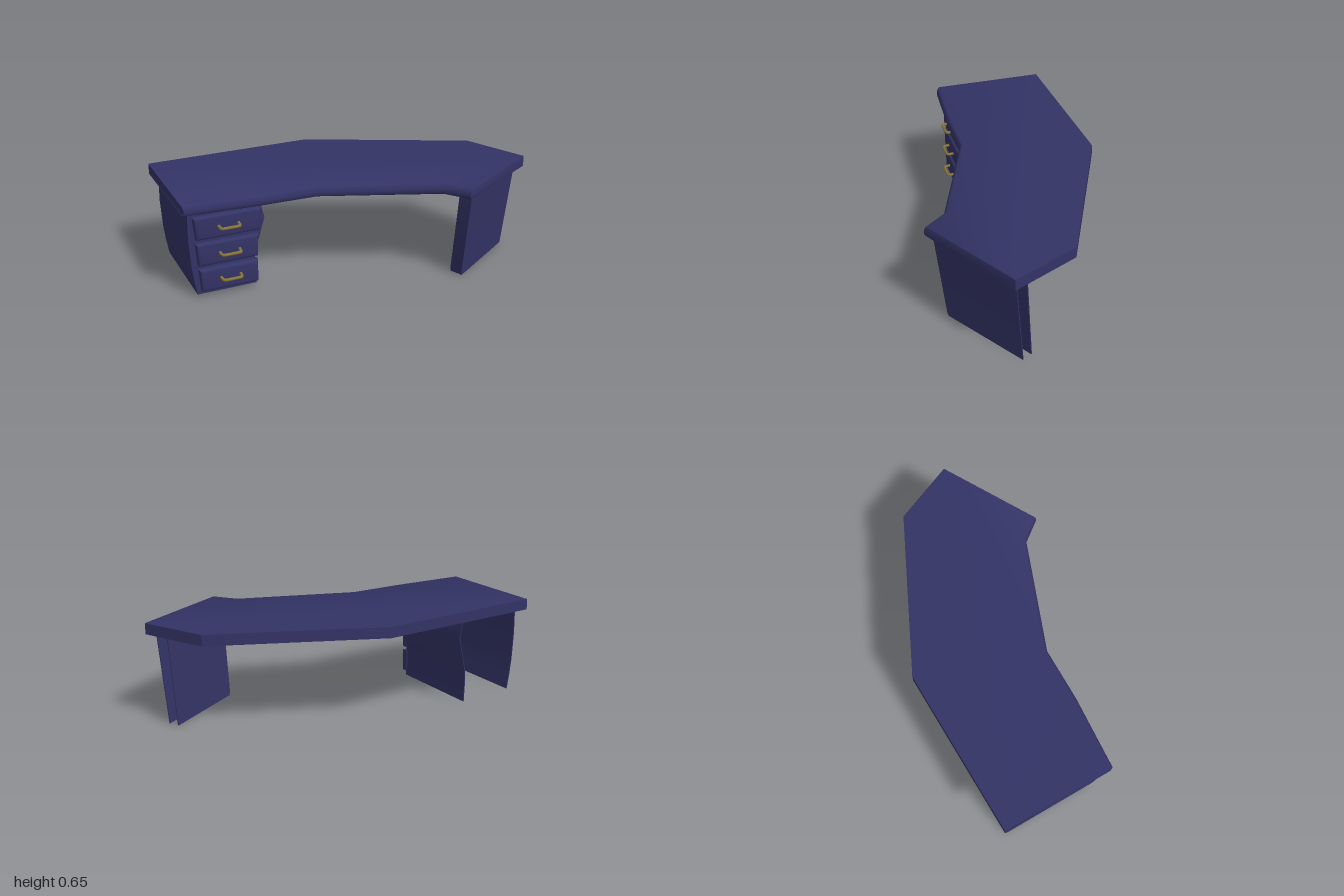
import * as THREE from 'three';
import { toCreasedNormals } from 'three/addons/utils/BufferGeometryUtils.js';

// Skin a stack of rings (lists of [x, y, z], bottom to top) and cap both ends
function loft(rings) {
  const n = rings[0].length;
  const index = [];
  for (let r = 0; r < rings.length - 1; r++) {
    for (let i = 0; i < n; i++) {
      const j = (i + 1) % n;
      const a = r * n + i, b = r * n + j, c = a + n, d = b + n;
      index.push(a, b, d, a, d, c);
    }
  }
  const cap = (ring, base, up) => {
    const flat = ring.map(p => new THREE.Vector2(p[0], -p[2]));
    for (const [a, b, c] of THREE.ShapeUtils.triangulateShape(flat, [])) {
      const ccw = THREE.ShapeUtils.area([flat[a], flat[b], flat[c]]) > 0;
      if (ccw === up) index.push(base + a, base + b, base + c);
      else index.push(base + a, base + c, base + b);
    }
  };
  cap(rings[0], 0, false);
  cap(rings[rings.length - 1], n * (rings.length - 1), true);
  const g = new THREE.BufferGeometry();
  g.setAttribute('position', new THREE.Float32BufferAttribute(rings.flat(2), 3));
  g.setIndex(index);
  return toCreasedNormals(g, 0.6);
}

function addMesh(parent, name, geometry, material) {
  const mesh = new THREE.Mesh(geometry, material);
  mesh.name = name;
  parent.add(mesh);
  return mesh;
}

// Thin upright side panel; each row is [y, frontX, frontZ, backX, backZ]
function sidePanel(rows, t = 0.006) {
  return loft(rows.map(([y, fx, fz, bx, bz]) =>
    [[fx - t / 2, y, fz], [fx + t / 2, y, fz], [bx + t / 2, y, bz], [bx - t / 2, y, bz]]));
}

// Thin upright front panel; each row is [leftX, leftY, leftZ, rightX, rightY, rightZ]
function frontPanel(rows, t = 0.004) {
  return loft(rows.map(([lx, ly, lz, rx, ry, rz]) =>
    [[lx, ly, lz], [rx, ry, rz], [rx, ry, rz - t], [lx, ly, lz - t]]));
}

export function createModel() {
  const desk = new THREE.Group();
  desk.name = 'desk';
  const navy = new THREE.MeshStandardMaterial({ color: 0x333366 });
  navy.name = 'navy paint';
  const brass = new THREE.MeshStandardMaterial({ color: 0x87743a });
  brass.name = 'brass';

  // Desktop: outline as [x, z, inset direction x, z]; only the user's edge is rounded
  const outline = [
    [-0.923, 0.67, 0, 0], [-0.248, 1.0, -1, 0], [0.005, 0.59, -0.87, -0.49],
    [0.17, 0.282, -0.77, -0.64], [0.747, -0.235, -0.45, -0.89], [0.921, -0.268, -0.5, -0.8],
    [0.893, -0.978, 0, 0], [0.45, -1.0, 0, 0], [-0.434, -0.32, 0, 0],
  ];
  const edge = [[0.576, 0.015], [0.582, 0.005], [0.595, 0], [0.612, 0], [0.63, 0.006], [0.64, 0.013], [0.646, 0.024]];
  addMesh(desk, 'desktop', loft(edge.map(([y, inset]) =>
    outline.map(([x, z, dx, dz]) => [x + dx * inset, y, z + dz * inset]))), navy);

  // Drawer cabinet, turned so its local +z is the drawer side
  const cabinet = new THREE.Group();
  cabinet.name = 'drawerCabinet';
  cabinet.rotation.y = 1.104;
  desk.add(cabinet);

  // Bowed sides: [y, front x, back x]
  const outer = [[0.018, -0.931, -0.931], [0.12, -0.948, -0.948], [0.22, -0.96, -0.96], [0.4, -0.97, -0.97], [0.58, -0.967, -0.967]];
  const inner = [[0.01, -0.548, -0.549], [0.12, -0.552, -0.553], [0.22, -0.55, -0.552], [0.45, -0.482, -0.499], [0.58, -0.513, -0.526]];
  const bowed = (side, frontZ, backZ) => sidePanel(side.map(([y, fx, bx]) => [y, fx, frontZ, bx, backZ]));
  addMesh(cabinet, 'outerPanel', bowed(outer, 0.173, -0.46), navy);
  addMesh(cabinet, 'innerPanel', bowed(inner, 0.157, -0.465), navy);
  addMesh(cabinet, 'cabinetFront', frontPanel(outer.map(([y, x], i) =>
    [x, y, 0.172, inner[i][1], inner[i][0], 0.156])), navy);

  // Drawers: [bottom y, top y, bottom left, bottom right, top left, top right, handle y]
  const drawers = [
    [0.04, 0.19, -0.91, -0.542, -0.92, -0.54, 0.12],
    [0.215, 0.365, -0.922, -0.54, -0.934, -0.534, 0.29],
    [0.39, 0.54, -0.928, -0.526, -0.943, -0.512, 0.465],
  ];
  const handlePath = new THREE.CatmullRomCurve3([
    [-0.064, 0.004, 0.195], [-0.06, 0, 0.238], [-0.045, 0, 0.248],
    [0.045, 0, 0.248], [0.06, 0, 0.238], [0.064, 0.004, 0.195],
  ].map(p => new THREE.Vector3(...p)), false, 'catmullrom', 0.3);
  for (const [y0, y1, bl, br, tl, tr, hy] of drawers) {
    const shape = new THREE.Shape([[bl, y0], [br, y0], [tr, y1], [tl, y1]]
      .map(p => new THREE.Vector2(...p)));
    const geometry = new THREE.ExtrudeGeometry(shape, {
      depth: 0.02, bevelThickness: 0.022, bevelSize: 0.022, bevelOffset: -0.022, bevelSegments: 4,
    });
    addMesh(cabinet, 'drawer', toCreasedNormals(geometry, 0.7), navy).position.z = 0.163;
    const handle = addMesh(cabinet, 'drawerHandle',
      new THREE.TubeGeometry(handlePath, 28, 0.01, 8), brass);
    handle.position.set(-0.725, hy, 0);
  }

  // Leaning leg: two side panels joined by a front strip, open at the back
  const leg = new THREE.Group();
  leg.name = 'leg';
  desk.add(leg);
  // Rows: [y, inner front lean, inner back lean, outer lean, front edge setback]
  const lean = [[0, -0.054, -0.044, -0.058, 0.038], [0.02, -0.052, -0.042, -0.056, 0.027], [0.58, 0, 0, 0, 0]];
  addMesh(leg, 'legInnerPanel', sidePanel(lean.map(([y, f, b, , s]) =>
    [y, 0.812 + f, -0.328 - s, 0.765 + b, -0.935])), navy);
  addMesh(leg, 'legOuterPanel', sidePanel(lean.map(([y, , , o, s]) =>
    [y, 0.896 + o, -0.322 - s, 0.846 + o, -0.935])), navy);
  addMesh(leg, 'legFront', frontPanel(lean.map(([y, f, , o, s]) =>
    [0.809 + f, y, -0.326 - s, 0.899 + o, y, -0.32 - s])), navy);

  return desk;
}
